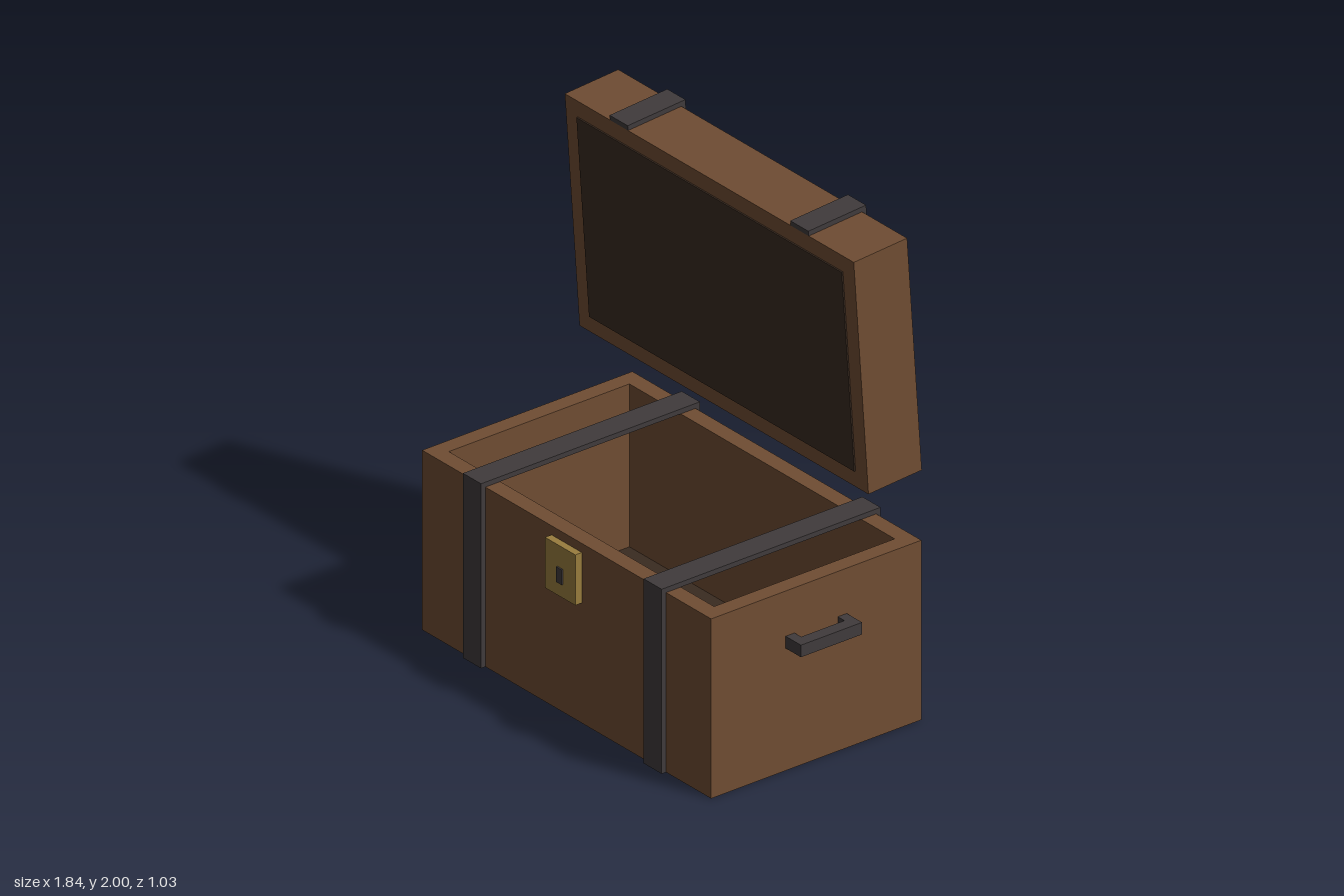
import * as THREE from 'three';

export function createModel() {
  const material = (name, color) => {
    const m = new THREE.MeshStandardMaterial({ color });
    m.name = name;
    return m;
  };
  const wood = material('wood', 0x704d33);
  const lining = material('dark lining', 0x3a2b21);
  const iron = material('iron', 0x403b3c);
  const brass = material('brass', 0x997d3e);

  const group = (name, parent) => {
    const g = new THREE.Group();
    g.name = name;
    if (parent) parent.add(g);
    return g;
  };
  // Box given by its [min, max] range on each axis
  const box = (parent, name, mat, [x0, x1], [y0, y1], [z0, z1]) => {
    const mesh = new THREE.Mesh(new THREE.BoxGeometry(x1 - x0, y1 - y0, z1 - z0), mat);
    mesh.position.set((x0 + x1) / 2, (y0 + y1) / 2, (z0 + z1) / 2);
    mesh.name = name;
    parent.add(mesh);
  };

  const model = group('openChest');
  const halfW = 0.83, height = 0.73, front = 0.477, back = -0.49;
  const wall = 0.068, strapT = 0.02, strapX = 0.519, strapHalf = 0.052;
  const floorY = 0.06;

  // Hollow body: a base board with a rectangular ring of walls on it
  const body = group('body', model);
  box(body, 'base', wood, [-halfW, halfW], [0, floorY], [back, front]);
  const rect = (target, hw, z0, z1) => target
    .moveTo(-hw, -z1).lineTo(hw, -z1).lineTo(hw, -z0).lineTo(-hw, -z0).closePath();
  const ring = rect(new THREE.Shape(), halfW, back, front);
  ring.holes.push(rect(new THREE.Path(), halfW - wall, back + wall, front - wall));
  const walls = new THREE.Mesh(
    new THREE.ExtrudeGeometry(ring, { depth: height - floorY, bevelEnabled: false }), wood);
  walls.name = 'walls';
  walls.rotation.x = -Math.PI / 2;
  walls.position.y = floorY;
  body.add(walls);
  box(body, 'floorLining', lining, [wall - halfW, halfW - wall], [floorY, floorY + 0.008],
    [back + wall, front - wall]);

  // Lid, leaning back; its origin is the lower front edge
  const lid = group('lid', model);
  lid.position.set(0, 0.997, -0.247);
  lid.rotation.x = 0.07;
  const lidL = front - back, lidT = 0.246;
  box(lid, 'lidShell', wood, [-halfW, halfW], [0, lidL], [-lidT, 0]);
  box(lid, 'lidLining', lining, [wall - halfW, halfW - wall], [wall, lidL - wall], [0, 0.006]);

  for (const side of [-1, 1]) {
    const label = side > 0 ? 'left' : 'right';
    const xs = [side * strapX - strapHalf, side * strapX + strapHalf];

    // Iron strap around the front, top and back of the body
    const strap = group(label + 'BodyStrap', body);
    box(strap, 'strapFront', iron, xs, [0, height], [front, front + strapT]);
    box(strap, 'strapBack', iron, xs, [0, height], [back - strapT, back]);
    box(strap, 'strapTop', iron, xs, [height, height + strapT], [back - strapT, front + strapT]);

    // Iron strap around the lid
    const lidStrap = group(label + 'LidStrap', lid);
    box(lidStrap, 'lidStrapBack', iron, xs, [-strapT, lidL], [-lidT - strapT, -lidT]);
    box(lidStrap, 'lidStrapTop', iron, xs, [lidL, lidL + strapT], [-lidT - strapT, 0]);

    // Side handle: a grip on two arms
    const handle = group(label + 'Handle', body);
    const span = (a, b) => (side > 0 ? [a, b] : [-b, -a]);
    box(handle, 'grip', iron, span(0.868, 0.918), [0.497, 0.546], [-0.147, 0.134]);
    for (const z of [-0.147, 0.093])
      box(handle, 'arm', iron, span(halfW, 0.868), [0.497, 0.546], [z, z + 0.041]);
  }

  // Lock plate with keyhole
  const lock = group('lock', body);
  box(lock, 'lockPlate', brass, [-0.087, 0.087], [0.488, 0.693], [front, 0.507]);
  box(lock, 'keyhole', iron, [-0.016, 0.016], [0.543, 0.605], [0.507, 0.513]);

  return model;
}
